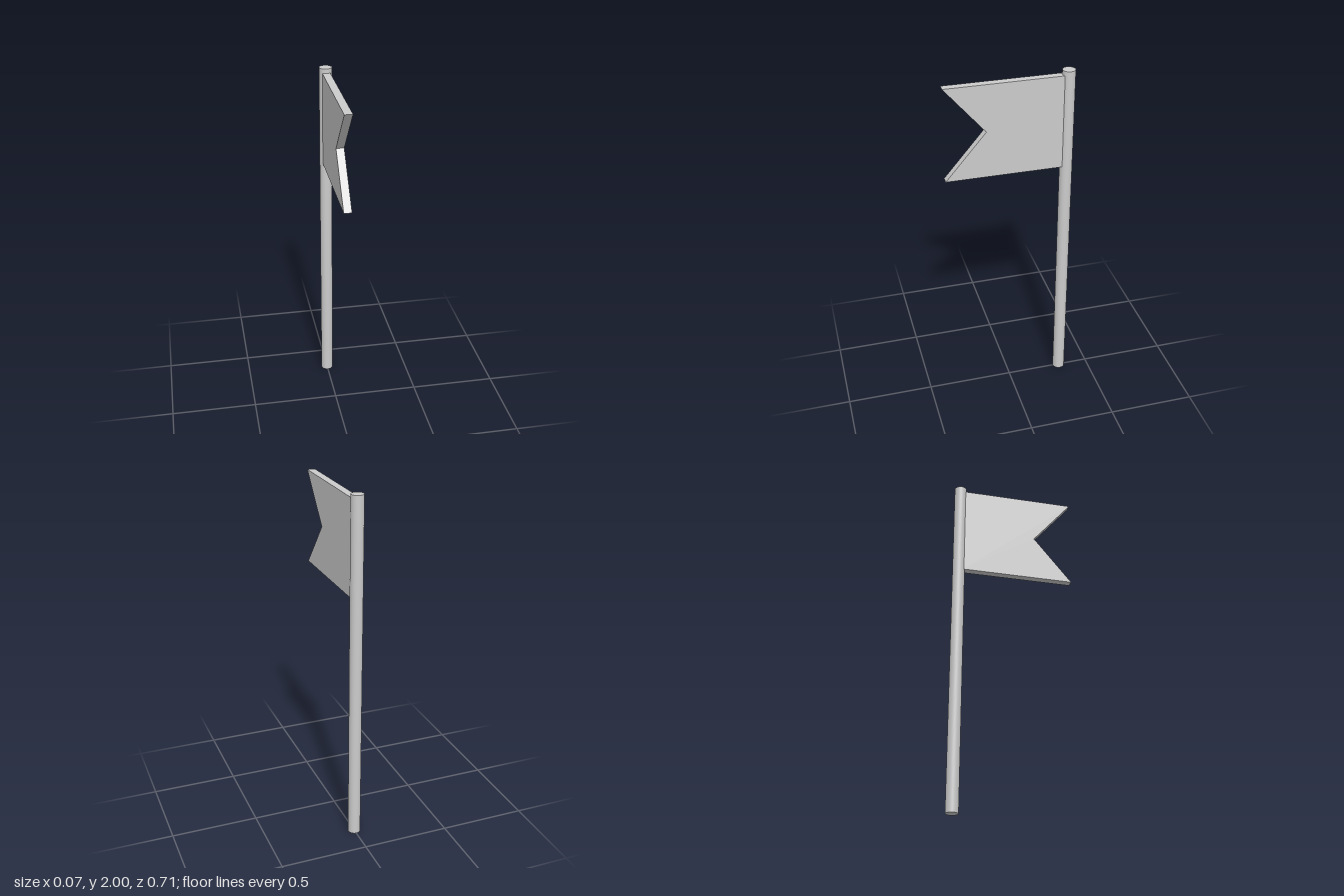
import * as THREE from 'three';

export function createModel() {
  const group = new THREE.Group();
  group.name = 'flagOnPole';
  const material = new THREE.MeshStandardMaterial({ color: 0xcccccc });

  // Round upright pole at the back
  const radius = 0.0355, height = 2, poleZ = -0.3215;
  const pole = new THREE.Mesh(new THREE.CylinderGeometry(radius, radius, height, 48), material);
  pole.name = 'pole';
  pole.position.set(0, height / 2, poleZ);
  group.add(pole);

  // Swallow-tailed flag: outline in (z, y), slightly sunk into the pole
  const thickness = 0.044;
  const outline = new THREE.Shape([
    [-0.3, 1.44], [0.357, 1.44], [0.13, 1.707], [0.357, 1.975], [-0.3, 1.975],
  ].map(([z, y]) => new THREE.Vector2(z, y)));
  const geometry = new THREE.ExtrudeGeometry(outline, { depth: thickness, bevelEnabled: false });
  geometry.translate(0, 0, -thickness / 2);
  geometry.rotateY(-Math.PI / 2); // outline's horizontal axis becomes +z
  const flag = new THREE.Mesh(geometry, material);
  flag.name = 'flag';
  group.add(flag);

  return group;
}
